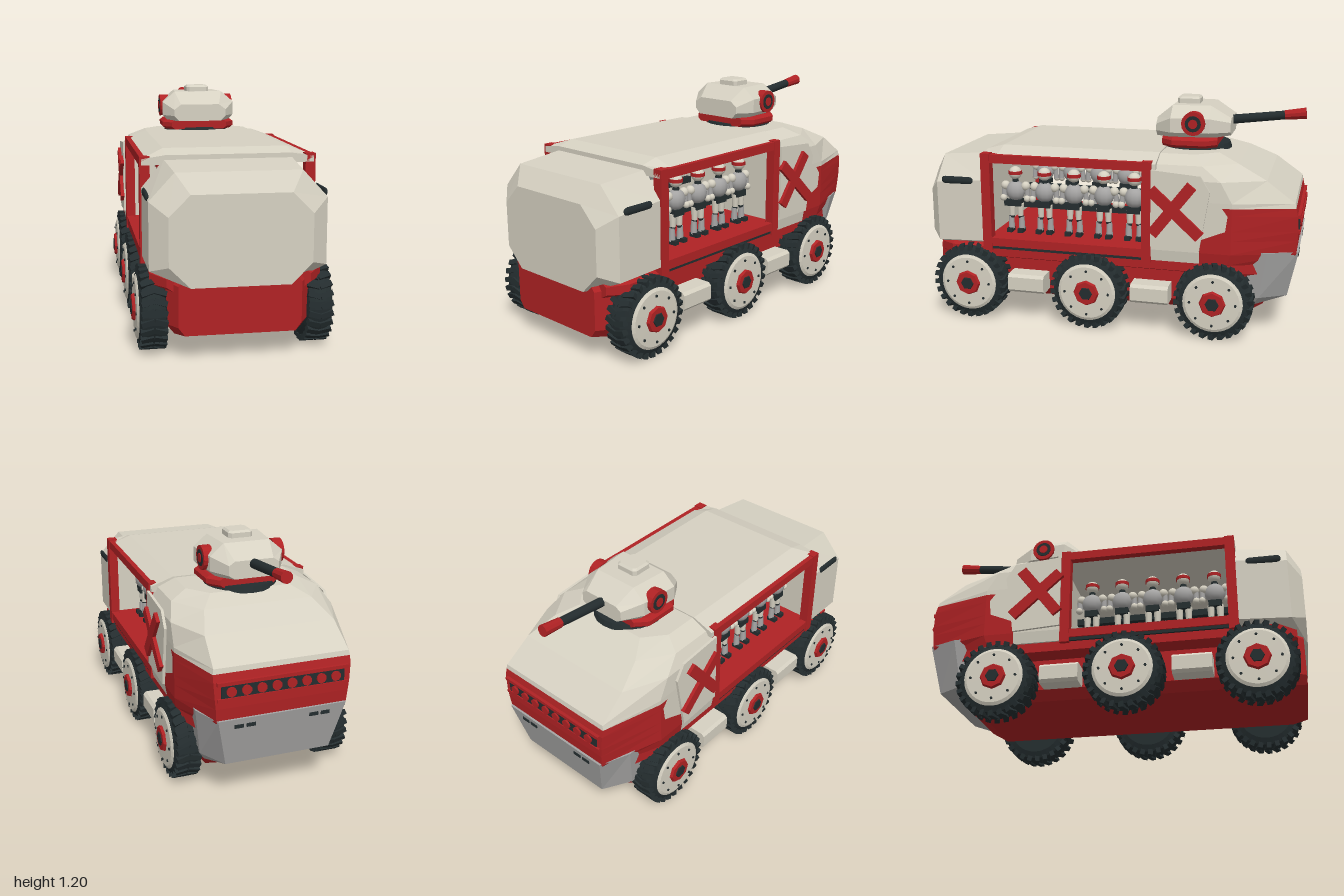
import * as THREE from 'three';

const mat = (name, color) => Object.assign(new THREE.MeshStandardMaterial({ color }), { name });
const cream = mat('cream paint', 0xd6d1c2);
const red = mat('red paint', 0xb02224);
const dark = mat('dark rubber', 0x242d2f);
const grey = mat('grey armour', 0xa6a5a4);

function add(parent, name, geo, material, x = 0, y = 0, z = 0) {
  const m = new THREE.Mesh(geo, material);
  m.name = name;
  m.position.set(x, y, z);
  parent.add(m);
  return m;
}
const box = (w, h, d) => new THREE.BoxGeometry(w, h, d);

function faceted(geo) {
  const g = geo.index ? geo.toNonIndexed() : geo;
  g.computeVertexNormals();
  return g;
}

// Faceted skin through rings of points; pick(level, edge) chooses a material index
function loft(rings, pick = () => 0) {
  const lists = [[], []];
  const tri = (k, ...p) => p.forEach((v) => lists[k].push(...v));
  const n = rings[0].length;
  for (let l = 0; l < rings.length - 1; l++) {
    for (let i = 0; i < n; i++) {
      const a = rings[l], b = rings[l + 1], j = (i + 1) % n, k = pick(l, i);
      tri(k, a[i], a[j], b[j]);
      tri(k, a[i], b[j], b[i]);
    }
  }
  const s = rings[0], e = rings[rings.length - 1];
  for (let i = 1; i < n - 1; i++) {
    tri(0, s[0], s[i + 1], s[i]);
    tri(0, e[0], e[i], e[i + 1]);
  }
  const g = new THREE.BufferGeometry();
  g.setAttribute('position', new THREE.Float32BufferAttribute([...lists[0], ...lists[1]], 3));
  g.addGroup(0, lists[0].length / 3, 0);
  g.addGroup(lists[0].length / 3, lists[1].length / 3, 1);
  g.computeVertexNormals();
  return g;
}

// Cross-section at z: box with cut corners (bottom cut bx,by and top cut tx,ty)
function section(z, w, y0, y1, bx, by, tx = bx, ty = by) {
  const half = [[w - bx, y0], [w, y0 + by], [w, y1 - ty], [w - tx, y1]];
  return [...half, ...half.slice().reverse().map(([x, y]) => [-x, y])].map(([x, y]) => [x, y, z]);
}

// Plan outline at height y, given one side's [x, z] points from front to back
function plan(y, half) {
  return [...half, ...half.slice().reverse().map(([x, z]) => [-x, z])].map(([x, z]) => [x, y, z]);
}

function wheel(side, z) {
  const g = new THREE.Group();
  g.name = 'wheel';
  const lathe = (pts, n) => faceted(new THREE.LatheGeometry(pts.map((p) => new THREE.Vector2(...p)), n));
  add(g, 'tyre', lathe([[0, 0], [0.15, 0], [0.185, 0.015], [0.195, 0.04], [0.195, 0.095], [0.185, 0.122], [0.155, 0.134], [0, 0.134]], 32), dark);
  for (let i = 0; i < 26; i++) {
    const spoke = new THREE.Group();
    spoke.name = 'tread';
    spoke.rotation.y = (i / 26) * Math.PI * 2;
    for (const s of [-1, 1]) {
      const t = add(spoke, 'treadBlock', box(0.03, 0.062, 0.026), dark, 0.189, 0.067 + s * 0.03, 0);
      t.rotation.x = s * 0.3;
    }
    g.add(spoke);
  }
  add(g, 'hubPlate', lathe([[0, 0.12], [0.155, 0.12], [0.155, 0.136], [0.14, 0.144], [0, 0.146]], 32), cream);
  for (let i = 0; i < 8; i++) {
    const a = (i / 8) * Math.PI * 2;
    add(g, 'hubBolt', new THREE.CylinderGeometry(0.007, 0.007, 0.008, 6), dark, Math.cos(a) * 0.118, 0.146, Math.sin(a) * 0.118);
  }
  add(g, 'hubRing', faceted(new THREE.CylinderGeometry(0.062, 0.072, 0.02, 8)), red, 0, 0.149, 0);
  add(g, 'hubNut', faceted(new THREE.CylinderGeometry(0.034, 0.038, 0.008, 6)), dark, 0, 0.16, 0);
  g.position.set(side * 0.327, 0.207, z);
  g.rotation.z = -side * Math.PI / 2;
  return g;
}

function passenger() {
  const g = new THREE.Group();
  g.name = 'passenger';
  const ball = (name, r, m, x, y, z, sx = 1, sy = 1, sz = 1) =>
    add(g, name, new THREE.SphereGeometry(r, 12, 8), m, x, y, z).scale.set(sx, sy, sz);
  ball('helmet', 0.036, cream, 0, 0.33, 0);
  add(g, 'visor', new THREE.CylinderGeometry(0.038, 0.038, 0.018, 12), red, 0, 0.333, 0);
  add(g, 'neck', new THREE.CylinderGeometry(0.016, 0.02, 0.03, 8), dark, 0, 0.29, 0);
  ball('torso', 0.054, grey, 0, 0.23, 0, 1, 1.05, 0.85);
  add(g, 'hips', box(0.07, 0.035, 0.055), dark, 0, 0.165, 0);
  for (const s of [-1, 1]) {
    ball('shoulder', 0.025, cream, s * 0.058, 0.258, 0);
    add(g, 'upperArm', new THREE.CylinderGeometry(0.014, 0.016, 0.06, 8), grey, s * 0.067, 0.22, 0);
    ball('elbow', 0.019, cream, s * 0.068, 0.19, 0.01);
    add(g, 'thigh', new THREE.CylinderGeometry(0.02, 0.016, 0.07, 8), cream, s * 0.024, 0.125, 0);
    ball('knee', 0.015, dark, s * 0.026, 0.085, 0);
    add(g, 'shin', new THREE.CylinderGeometry(0.015, 0.019, 0.07, 8), grey, s * 0.03, 0.05, 0);
    add(g, 'boot', box(0.03, 0.022, 0.055), dark, s * 0.031, 0.011, 0.01);
  }
  return g;
}

function turret() {
  const g = new THREE.Group();
  g.name = 'turret';
  add(g, 'turretBase', faceted(new THREE.CylinderGeometry(0.18, 0.19, 0.03, 24)), dark, 0, 0.945, -0.41);
  add(g, 'turretRing', loft([section(-0.54, 0.15, 0.95, 1.005, 0.02, 0.015), section(-0.48, 0.205, 0.95, 1.005, 0.02, 0.015),
    section(-0.31, 0.208, 0.95, 1.005, 0.02, 0.015), section(-0.25, 0.16, 0.95, 1.005, 0.02, 0.015)]), red);
  add(g, 'turretShell', loft([section(-0.605, 0.13, 1.01, 1.1, 0.03, 0.02), section(-0.5, 0.19, 1.0, 1.165, 0.03, 0.03, 0.07, 0.06),
    section(-0.3, 0.207, 1.0, 1.165, 0.03, 0.03, 0.07, 0.06), section(-0.215, 0.15, 1.0, 1.095, 0.03, 0.03, 0.04, 0.03)]), cream);
  add(g, 'hatch', loft([[0.064, 0.06, 1.155], [0.064, 0.06, 1.19], [0.054, 0.05, 1.2]].map(([w, d, y]) =>
    plan(y, [[w - 0.015, d], [w, d - 0.015], [w, 0.015 - d], [w - 0.015, -d]]))), cream, 0, 0, -0.37);
  for (const s of [-1, 1]) {
    [[0.062, 0.05, red, 0.188], [0.042, 0.02, dark, 0.206], [0.024, 0.02, red, 0.209]].forEach(([r, h, m, x]) => {
      add(g, 'sidePod', faceted(new THREE.CylinderGeometry(r, r, h, 16)), m, s * x, 1.08, -0.42).rotation.z = Math.PI / 2;
    });
  }
  const gun = new THREE.Group();
  gun.name = 'cannon';
  gun.position.set(0, 1.075, -0.56);
  gun.rotation.x = -Math.PI / 2 + 0.12;
  add(gun, 'barrel', new THREE.CylinderGeometry(0.023, 0.025, 0.36, 12), dark, 0, 0.17, 0);
  add(gun, 'muzzle', faceted(new THREE.CylinderGeometry(0.03, 0.025, 0.11, 10)), red, 0, 0.37, 0);
  g.add(gun);
  return g;
}

export function createModel() {
  const model = new THREE.Group();
  model.name = 'armouredCarrier';

  // Lower hull, sills and floor
  add(model, 'lowerHull', loft([section(-0.82, 0.31, 0.16, 0.46, 0.04, 0.05), section(-0.74, 0.34, 0.118, 0.46, 0.04, 0.05),
    section(0.9, 0.34, 0.115, 0.42, 0.04, 0.05), section(0.98, 0.29, 0.125, 0.4, 0.03, 0.04)]), red);
  add(model, 'sill', loft([section(-0.82, 0.36, 0.33, 0.45, 0.03, 0.02), section(-0.66, 0.41, 0.33, 0.42, 0.05, 0.02),
    section(0.86, 0.41, 0.33, 0.42, 0.05, 0.02), section(0.95, 0.34, 0.33, 0.41, 0.03, 0.02)]), red);
  add(model, 'floor', box(0.8, 0.04, 0.92), red, 0, 0.43, 0.21);

  // Front cab block
  add(model, 'cab', loft([section(0.66, 0.425, 0.385, 0.9, 0.12, 0.05, 0.11, 0.13), section(0.93, 0.418, 0.365, 0.877, 0.14, 0.06, 0.12, 0.13),
    section(1.0, 0.335, 0.355, 0.785, 0.1, 0.1, 0.1, 0.1)]), cream);

  // Roof over the open bay
  const roofRing = (z, top) => [[0.425, 0.875], [0.425, 0.905], [0.31, top], [-0.31, top], [-0.425, 0.905], [-0.425, 0.875]].map(([x, y]) => [x, y, z]);
  add(model, 'roof', loft([roofRing(-0.27, 0.946), roofRing(0.58, 0.946), roofRing(0.67, 0.922)]), cream);

  // Rear body: each level lists height, half width, colour split z, shoulder z, tip half width, tip z
  const levels = [
    [0.4, 0.42, -0.5, -0.64, 0.31, -0.95], [0.46, 0.43, -0.5, -0.66, 0.33, -0.98], [0.53, 0.43, -0.51, -0.66, 0.335, -0.985],
    [0.58, 0.43, -0.63, -0.66, 0.34, -0.985], [0.66, 0.43, -0.64, -0.66, 0.345, -0.98], [0.7, 0.43, -0.61, -0.66, 0.345, -0.97],
    [0.725, 0.43, -0.6, -0.66, 0.34, -0.965], [0.83, 0.425, -0.5, -0.6, 0.33, -0.82], [0.9, 0.39, -0.4, -0.5, 0.28, -0.67], [0.94, 0.3, -0.35, -0.45, 0.21, -0.56],
  ];
  add(model, 'rearBody', loft(levels.map(([y, w, split, zs, wn, zn]) => plan(y, [[w, -0.25], [w, split], [w, zs], [wn, zn]])),
    (l, i) => (l < 5 && i >= 1 && i <= 5 ? 1 : 0)), [cream, red]);
  add(model, 'lowerNose', loft([
    plan(0.165, [[0.32, -0.74], [0.32, -0.77], [0.24, -0.81]]),
    plan(0.215, [[0.35, -0.74], [0.35, -0.8], [0.27, -0.94]]),
    plan(0.47, [[0.385, -0.74], [0.385, -0.84], [0.325, -0.992]]),
  ]), grey);

  // Lamp strip and vents across the rear nose
  add(model, 'lampStrip', box(0.62, 0.065, 0.012), dark, 0, 0.615, -0.984);
  for (let i = 0; i < 8; i++) {
    add(model, 'lamp', new THREE.CylinderGeometry(0.022, 0.025, 0.02, 10), red, (i - 3.5) * 0.075, 0.615, -0.99).rotation.x = Math.PI / 2;
  }
  for (const y of [0.575, 0.655]) add(model, 'lampBorder', box(0.66, 0.018, 0.02), red, 0, y, -0.985);
  for (const x of [-0.22, -0.16, 0.16, 0.22]) add(model, 'vent', box(0.045, 0.018, 0.008), dark, x, 0.43, -0.985);

  const door = new THREE.Shape([[0.25, 0.48], [0.5, 0.465], [0.55, 0.78], [0.5, 0.86], [0.25, 0.88]].map((p) => new THREE.Vector2(...p)));
  for (const s of [-1, 1]) {
    // Red frame around the side opening
    for (const z of [0.645, -0.225]) add(model, 'framePost', box(0.05, 0.53, 0.05), red, s * 0.408, 0.652, z);
    add(model, 'frameTop', box(0.04, 0.045, 0.92), red, s * 0.41, 0.89, 0.21);
    add(model, 'frameBottom', box(0.04, 0.045, 0.92), red, s * 0.41, 0.435, 0.21);
    add(model, 'frameTrim', box(0.03, 0.018, 0.9), dark, s * 0.407, 0.405, 0.21);

    // Passengers standing along the rail
    add(model, 'rail', box(0.03, 0.035, 0.84), dark, s * 0.2, 0.597, 0.21);
    for (let i = 0; i < 5; i++) {
      const p = passenger();
      p.position.set(s * 0.25, 0.45, 0.545 - i * 0.1665);
      p.rotation.y = s * Math.PI / 2;
      model.add(p);
    }

    // Side door with its crossed bars
    const panel = add(model, 'sideDoor', new THREE.ExtrudeGeometry(door, { depth: 0.014, bevelEnabled: false }), cream, s * 0.437 - 0.007, 0, 0);
    panel.rotation.y = Math.PI / 2;
    for (const [z0, y0, z1, y1] of [[-0.26, 0.55, -0.46, 0.81], [-0.25, 0.78, -0.505, 0.55]]) {
      const bar = add(model, 'crossBar', box(0.02, 0.058, Math.hypot(z1 - z0, y1 - y0)), red, s * 0.452, (y0 + y1) / 2, (z0 + z1) / 2);
      bar.rotation.x = -Math.atan2(y1 - y0, z1 - z0);
    }

    // Cab slot, side boxes and wheels
    const slot = new THREE.CapsuleGeometry(0.02, 0.14, 3, 8).rotateX(Math.PI / 2);
    add(model, 'cabSlot', slot, dark, s * 0.42, 0.762, 0.81).scale.x = 0.5;
    for (const z of [0.43, -0.245]) {
      add(model, 'sideBox', loft([section(z - 0.1, 0.06, 0.165, 0.265, 0.015, 0.015), section(z + 0.1, 0.06, 0.165, 0.265, 0.015, 0.015)]), cream, s * 0.39, 0, 0);
    }
    for (const z of [0.75, 0.085, -0.58]) model.add(wheel(s, z));
  }

  model.add(turret());
  return model;
}
